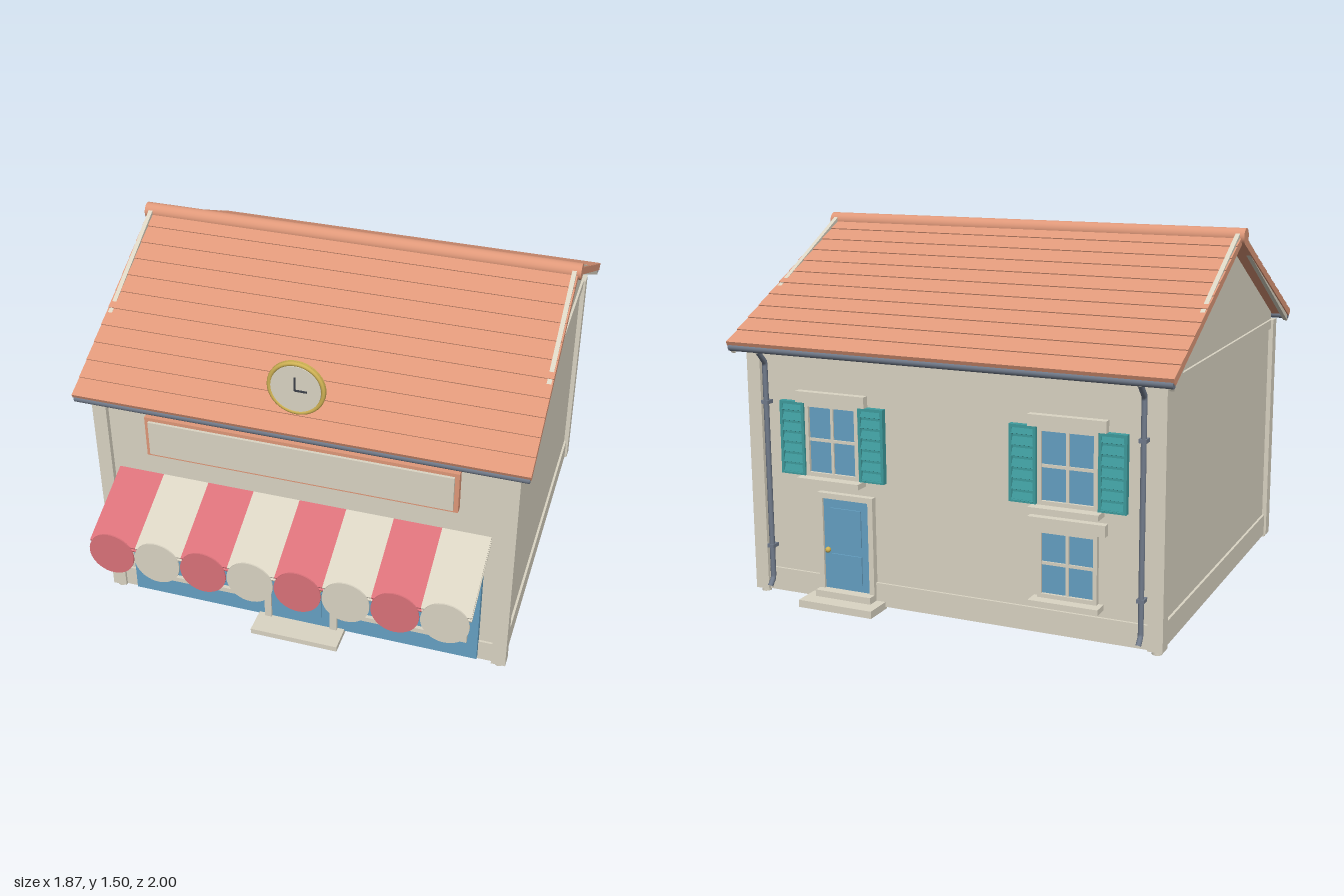
import * as THREE from 'three';

const mat = (name, color) => Object.assign(new THREE.MeshStandardMaterial({ color }), { name });

export function createModel() {
  const cream = mat('cream plaster', 0xdbd5c4), roofMat = mat('terracotta', 0xe0997a);
  const red = mat('awning red', 0xdb727a), blue = mat('shop blue', 0x66a1c4);
  const teal = mat('shutter teal', 0x3f9c9e), gold = mat('brass', 0xcfb254);
  const grey = mat('pipe grey', 0x727c8c), dark = mat('clock hand dark', 0x3c4048);
  const model = new THREE.Group();

  const sub = (name, parent = model) => {
    const g = new THREE.Group();
    g.name = name;
    parent.add(g);
    return g;
  };
  const add = (parent, name, geo, m, x = 0, y = 0, z = 0) => {
    const mesh = new THREE.Mesh(geo, m);
    mesh.name = name;
    mesh.position.set(x, y, z);
    parent.add(mesh);
    return mesh;
  };
  // Box given by its two extremes on every axis
  const box = (p, name, m, x0, x1, y0, y1, z0, z1) => add(p, name,
    new THREE.BoxGeometry(x1 - x0, y1 - y0, z1 - z0), m, (x0 + x1) / 2, (y0 + y1) / 2, (z0 + z1) / 2);
  // Rectangular frame with an open middle
  const frame = (p, name, m, x0, x1, y0, y1, w, z0, z1) => {
    const g = sub(name, p);
    box(g, 'frameSide', m, x0, x0 + w, y0, y1, z0, z1);
    box(g, 'frameSide', m, x1 - w, x1, y0, y1, z0, z1);
    box(g, 'frameBottom', m, x0 + w, x1 - w, y0, y0 + w, z0, z1);
    box(g, 'frameTop', m, x0 + w, x1 - w, y1 - w, y1, z0, z1);
  };
  const knob = (p, x, y, z) => add(p, 'doorKnob', new THREE.SphereGeometry(0.012, 16, 10), gold, x, y, z);

  // Walls with gables: house profile extruded along x
  const zc = -0.115, zf = 0.645, zb = -0.875;
  const profile = new THREE.Shape();
  [[zf, 0.015], [zf, 1.05], [zc, 1.445], [zb, 1.05], [zb, 0.015]]
    .forEach(([z, y], i) => (i ? profile.lineTo(-z, y) : profile.moveTo(-z, y)));
  const wallGeo = new THREE.ExtrudeGeometry(profile, { depth: 1.72, bevelEnabled: false });
  wallGeo.rotateY(Math.PI / 2).translate(-0.86, 0, 0);
  add(model, 'walls', wallGeo, cream);

  // Corner posts, plinth and top boards
  for (const s of [-1, 1]) {
    for (const z of [0.64, -0.87]) {
      box(model, 'cornerPost', cream, s * 0.85 - 0.03, s * 0.85 + 0.03, 0.015, 1.02, z - 0.028, z + 0.028);
      add(model, 'postFoot', new THREE.CylinderGeometry(0.02, 0.02, 0.02, 16), cream, s * 0.85, 0.01, z);
    }
    for (const [n, a, b] of [['sidePlinth', 0.015, 0.11], ['sideTopBoard', 0.98, 1.02]])
      box(model, n, cream, s * 0.86 - 0.01, s * 0.86 + 0.01, a, b, zb, zf);
  }
  for (const z of [zf, zb]) {
    box(model, 'plinth', cream, -0.83, 0.83, 0.015, 0.11, z - 0.01, z + 0.01);
    box(model, 'topBoard', cream, -0.83, 0.83, 0.98, 1.02, z - 0.012, z + 0.012);
  }

  // Roof: two mirrored slopes of overlapping tile rows, gutters and bargeboards
  const pitch = 0.461, rows = 11, len = 0.94, step = len / rows;
  for (const turn of [0, Math.PI]) {
    const side = sub('roofSide');
    side.position.set(0, 1.46, zc);
    side.rotation.y = turn;
    const slope = sub('roofSlope', side);
    slope.rotation.x = pitch;
    box(slope, 'roofDeck', roofMat, -0.925, 0.925, -0.016, 0.006, 0, len);
    for (let i = 0; i < rows; i++) {
      const tile = box(slope, 'tileRow', roofMat, -0.925, 0.925, -0.006, 0.014, i * step, (i + 1) * step + 0.006);
      tile.rotation.x = -0.05;
    }
    const boards = sub('bargeboards', side);
    boards.rotation.x = 0.49;
    boards.position.y = 0.01;
    for (const s of [-1, 1])
      box(boards, 'bargeboard', cream, s * 0.91 - 0.009, s * 0.91 + 0.009, -0.02, 0.02, 0, 0.95);
    const gutter = add(side, 'gutter', new THREE.CylinderGeometry(0.016, 0.016, 1.84, 16), grey, 0, -0.43, 0.835);
    gutter.rotation.z = Math.PI / 2;
  }
  const ridge = add(model, 'ridgeCap', new THREE.CylinderGeometry(0.034, 0.034, 1.874, 24), roofMat, 0, 1.462, zc);
  ridge.rotation.z = Math.PI / 2;

  // Shop front
  const shop = sub('shopFront');
  box(shop, 'shopPanel', blue, -0.76, 0.76, 0.03, 0.57, 0.64, 0.677);
  for (const s of [-1, 1]) {
    const cx = s * 0.452;
    frame(shop, 'shopWindowFrame', cream, cx - 0.265, cx + 0.265, 0.125, 0.56, 0.022, 0.67, 0.694);
    box(shop, 'shopWindowMullion', cream, cx - 0.007, cx + 0.007, 0.14, 0.55, 0.67, 0.688);
    box(shop, 'doorPost', cream, s * 0.145 - 0.015, s * 0.145 + 0.015, 0.03, 0.57, 0.67, 0.694);
  }
  box(shop, 'doorLeaf', blue, -0.13, 0.13, 0.03, 0.56, 0.67, 0.684);
  for (const [a, b] of [[0.075, 0.22], [0.24, 0.35], [0.37, 0.5]])
    box(shop, 'doorPanel', blue, -0.092, 0.092, a, b, 0.68, 0.69);
  knob(shop, 0.085, 0.246, 0.696);
  box(shop, 'frontStep', cream, -0.19, 0.19, 0.014, 0.038, 0.64, 0.79);

  // Sign board
  box(model, 'signPanel', cream, -0.63, 0.63, 0.79, 0.945, 0.645, 0.688);
  frame(model, 'signFrame', roofMat, -0.648, 0.648, 0.775, 0.96, 0.019, 0.645, 0.676);

  // Striped awning with round valance flaps
  const awning = sub('awning');
  const w = 0.196, tilt = Math.atan2(0.14, 0.315);
  const canopy = sub('canopy', awning);
  canopy.position.set(0, 0.677, 0.665);
  canopy.rotation.x = tilt;
  for (let i = 0; i < 8; i++) {
    const m = i % 2 ? cream : red, x = (i - 3.5) * w;
    for (const y of [0, -0.028])
      box(canopy, 'awningStripe', m, x - w / 2, x + w / 2, y - 0.004, y + 0.004, 0, 0.348);
    const flap = add(awning, 'valanceFlap', new THREE.CylinderGeometry(0.096, 0.096, 0.006, 40), m, x, 0.5, 0.997);
    flap.rotation.x = Math.PI / 2;
  }

  // Clock
  const clock = sub('clock');
  clock.position.set(0, 1.225, 0.66);
  const disc = (name, r, d, m, z) => {
    add(clock, name, new THREE.CylinderGeometry(r, r, d, 48), m, 0, 0, z).rotation.x = Math.PI / 2;
  };
  disc('clockCase', 0.117, 0.014, gold, 0.009);
  disc('clockFace', 0.101, 0.008, cream, 0.018);
  add(clock, 'clockRim', new THREE.TorusGeometry(0.109, 0.009, 10, 48), gold, 0, 0, 0.014);
  box(clock, 'minuteHand', dark, -0.003, 0.003, 0, 0.058, 0.028, 0.034);
  box(clock, 'hourHand', dark, 0, 0.048, -0.003, 0.003, 0.028, 0.034);

  // Back wall fittings, built facing +z and turned round
  const back = sub('backWall');
  back.rotation.y = Math.PI;
  const z = -zb;
  const backWindow = (x, y0, y1, shutters) => {
    const g = sub('backWindow', back), ym = (y0 + y1) / 2;
    g.position.x = x;
    box(g, 'windowGlass', blue, -0.11, 0.11, y0, y1, z, z + 0.008);
    frame(g, 'windowFrame', cream, -0.12, 0.12, y0, y1, 0.016, z, z + 0.02);
    box(g, 'verticalBar', cream, -0.006, 0.006, y0, y1, z, z + 0.015);
    box(g, 'crossBar', cream, -0.11, 0.11, ym - 0.006, ym + 0.006, z, z + 0.014);
    box(g, 'windowSill', cream, -0.14, 0.14, y0 - 0.022, y0, z, z + 0.063);
    box(g, 'windowHead', cream, -0.155, 0.155, y1, y1 + 0.045, z, z + 0.03);
    if (!shutters) return;
    for (const s of [-1, 1]) {
      const a = s * 0.178;
      box(g, 'shutterBoard', teal, a - 0.052, a + 0.052, y0, y1, z, z + 0.014);
      frame(g, 'shutterFrame', teal, a - 0.055, a + 0.055, y0, y1, 0.012, z, z + 0.024);
      for (let i = 0; i < 7; i++) {
        const y = y0 + (i + 0.5) * (y1 - y0) / 7;
        box(g, 'shutterSlat', teal, a - 0.045, a + 0.045, y - 0.016, y + 0.016, z + 0.013, z + 0.02).rotation.x = -0.35;
      }
    }
  };
  backWindow(-0.5, 0.522, 0.82, true);
  backWindow(0.5, 0.522, 0.82, true);
  backWindow(0.5, 0.16, 0.43, false);

  // Back door
  const door = sub('backDoor', back);
  door.position.x = -0.445;
  frame(door, 'doorFrame', cream, -0.125, 0.125, 0.03, 0.46, 0.022, z, z + 0.026);
  box(door, 'doorLeaf', blue, -0.104, 0.104, 0.04, 0.44, z, z + 0.016);
  for (const [a, b] of [[0.09, 0.21], [0.25, 0.4]])
    box(door, 'doorPanel', blue, -0.068, 0.068, a, b, z + 0.014, z + 0.022);
  knob(door, -0.083, 0.225, z + 0.026);
  box(door, 'threshold', cream, -0.125, 0.125, 0.035, 0.062, z, z + 0.06);
  box(door, 'backStep', cream, -0.165, 0.165, 0.005, 0.035, z, 1.0);

  // Downpipes from the back gutter
  for (const s of [-1, 1]) {
    const path = new THREE.CurvePath();
    const pts = [[1.02, z + 0.07], [0.97, z + 0.024], [0.07, z + 0.024], [0.04, z + 0.05]]
      .map(([y, pz]) => new THREE.Vector3(s * 0.795, y, pz));
    for (let i = 0; i < 3; i++) path.add(new THREE.LineCurve3(pts[i], pts[i + 1]));
    add(back, 'downpipe', new THREE.TubeGeometry(path, 60, 0.011, 10), grey);
    for (const y of [0.2, 0.8])
      box(back, 'pipeClip', grey, s * 0.795 - 0.015, s * 0.795 + 0.015, y, y + 0.015, z, z + 0.037);
  }
  return model;
}
